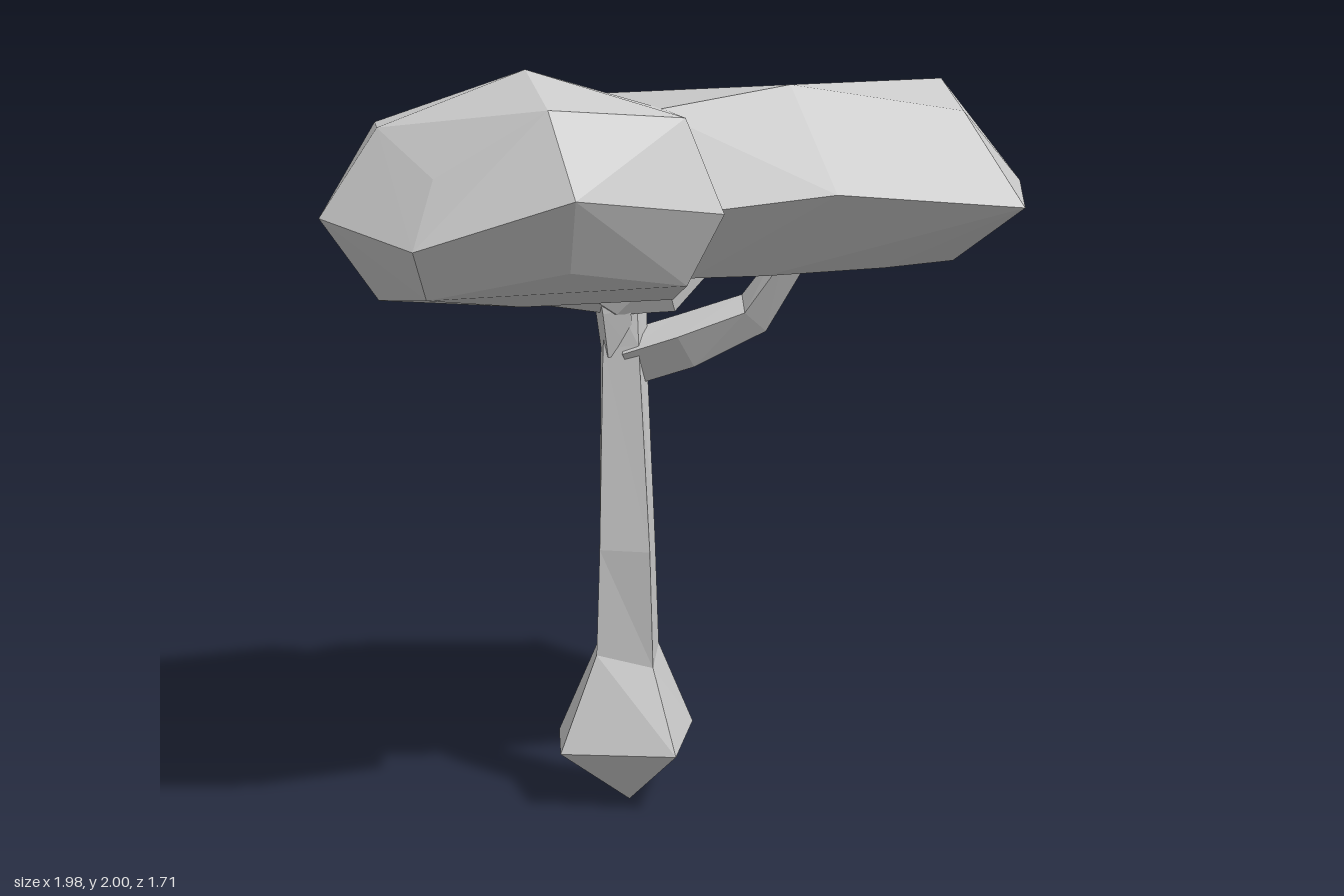
import * as THREE from 'three';
import { ConvexGeometry } from 'three/addons/geometries/ConvexGeometry.js';

const V = (p) => new THREE.Vector3(...p);

// Skin a list of equal-length rings (each running from +x towards +z); ends may be single repeated points.
function loft(rings) {
  const pos = [];
  const n = rings[0].length;
  const tri = (a, b, c) => pos.push(...a, ...b, ...c);
  for (let r = 0; r < rings.length - 1; r++) {
    for (let i = 0; i < n; i++) {
      const j = (i + 1) % n;
      tri(rings[r][i], rings[r + 1][i], rings[r + 1][j]);
      tri(rings[r][i], rings[r + 1][j], rings[r][j]);
    }
  }
  const g = new THREE.BufferGeometry();
  g.setAttribute('position', new THREE.Float32BufferAttribute(pos, 3));
  g.computeVertexNormals();
  return g;
}

// Four-sided limb through [x, y, z, radius] stations.
function limb(stations) {
  const pts = stations.map(V);
  const rings = stations.map((s, k) => {
    const dir = pts[Math.min(k + 1, pts.length - 1)].clone().sub(pts[Math.max(k - 1, 0)]).normalize();
    const q = new THREE.Quaternion().setFromUnitVectors(new THREE.Vector3(0, 1, 0), dir);
    return [0, 1, 2, 3].map((i) => {
      const a = (i + 0.5) * Math.PI / 2;
      return new THREE.Vector3(Math.cos(a), 0, Math.sin(a)).multiplyScalar(s[3]).applyQuaternion(q).add(pts[k]).toArray();
    });
  });
  return loft(rings);
}

export function createModel() {
  const group = new THREE.Group();
  const material = new THREE.MeshStandardMaterial({ color: 0xcccccc, flatShading: true });
  const add = (name, geometry) => {
    const mesh = new THREE.Mesh(geometry, material);
    mesh.name = name;
    group.add(mesh);
  };

  // Five-sided trunk with a bulbous, pointed foot
  const tip = [-0.12, 0, 0.02];
  add('trunk', loft([
    [tip, tip, tip, tip, tip],
    [[0.08, 0.19, -0.04], [-0.05, 0.17, 0.23], [-0.33, 0.16, 0.08], [-0.28, 0.17, -0.13], [-0.08, 0.18, -0.18]],
    [[-0.03, 0.43, 0], [-0.08, 0.39, 0.115], [-0.22, 0.42, 0.05], [-0.19, 0.44, -0.04], [-0.09, 0.45, -0.055]],
    [[-0.04, 0.72, 0], [-0.09, 0.71, 0.12], [-0.21, 0.71, 0.05], [-0.18, 0.71, -0.05], [-0.08, 0.71, -0.065]],
    [[-0.06, 1.17, 0], [-0.1, 1.26, 0.05], [-0.185, 1.25, 0], [-0.17, 1.22, -0.08], [-0.08, 1.2, -0.09]],
    [[-0.06, 1.42, -0.01], [-0.1, 1.42, 0.03], [-0.17, 1.42, 0], [-0.16, 1.42, -0.08], [-0.08, 1.42, -0.09]],
  ]));

  // Forking branches
  add('leftBranch', limb([[-0.1, 1.22, -0.02, 0.075], [0.03, 1.27, 0.06, 0.075], [0.19, 1.35, 0.15, 0.06], [0.26, 1.5, 0.24, 0.045]]));
  add('rightBranch', limb([[-0.14, 1.24, -0.02, 0.05], [-0.16, 1.36, 0.01, 0.055], [-0.19, 1.52, 0.03, 0.06]]));

  // Faceted foliage: each clump is a hull of top, rim and underside points
  const clumps = {
    largeFoliage: [
      [0.19, 1.96, 0.43], [0.65, 1.89, 0.46], [0.76, 1.96, 0.04], [0.62, 1.925, -0.43], [-0.15, 1.91, -0.41], [-0.17, 1.9, 0.43],
      [0.22, 1.70, 0.70], [0.76, 1.65, 0.61], [0.99, 1.68, 0.06], [0.75, 1.70, -0.55], [0.11, 1.68, -0.72],
      [-0.36, 1.64, -0.54], [-0.42, 1.67, 0], [-0.1, 1.66, 0.62],
      [0.12, 1.48, 0.45], [0.5, 1.475, 0.3], [0.77, 1.47, 0.12], [0.69, 1.47, -0.45], [0.12, 1.47, -0.5], [-0.25, 1.48, -0.3], [-0.08, 1.48, 0.45],
    ],
    frontFoliage: [
      [-0.47, 2.0, 0.32], [-0.84, 1.86, 0.29], [-0.76, 1.75, 0.58], [-0.51, 1.915, 0.71], [-0.15, 1.89, 0.64],
      [-0.12, 1.9, 0.33], [-0.24, 1.9, 0.07], [-0.48, 1.9, -0.02], [-0.79, 1.86, -0.01],
      [-0.99, 1.64, 0.30], [-0.83, 1.585, 0.67], [-0.48, 1.71, 0.85], [-0.07, 1.66, 0.70],
      [-0.03, 1.64, 0.35], [-0.15, 1.65, -0.03], [-0.51, 1.66, -0.14], [-0.85, 1.66, -0.07],
      [-0.46, 1.53, 0.72], [-0.78, 1.46, 0.58], [-0.14, 1.48, 0.62], [-0.84, 1.43, 0.28], [-0.48, 1.405, 0.31], [-0.08, 1.41, 0.3],
      [-0.77, 1.47, 0], [-0.5, 1.47, -0.05], [-0.2, 1.47, 0.05],
    ],
    backFoliage: [
      [-0.61, 1.68, -0.37], [-0.12, 1.74, -0.70], [-0.1, 1.8, -0.3], [-0.32, 1.74, 0.04],
      [-0.68, 1.5, -0.80], [-0.22, 1.48, -0.86], [0.17, 1.47, -0.6], [0.2, 1.47, -0.15], [-0.05, 1.47, 0.12], [-0.4, 1.5, 0.08], [-0.72, 1.55, -0.33],
      [-0.54, 1.345, -0.70], [-0.1, 1.345, -0.70], [0.01, 1.345, -0.4], [0.01, 1.345, 0.02], [-0.16, 1.345, 0.05], [-0.54, 1.38, -0.28],
    ],
  };
  for (const [name, points] of Object.entries(clumps)) add(name, new ConvexGeometry(points.map(V)));

  return group;
}
